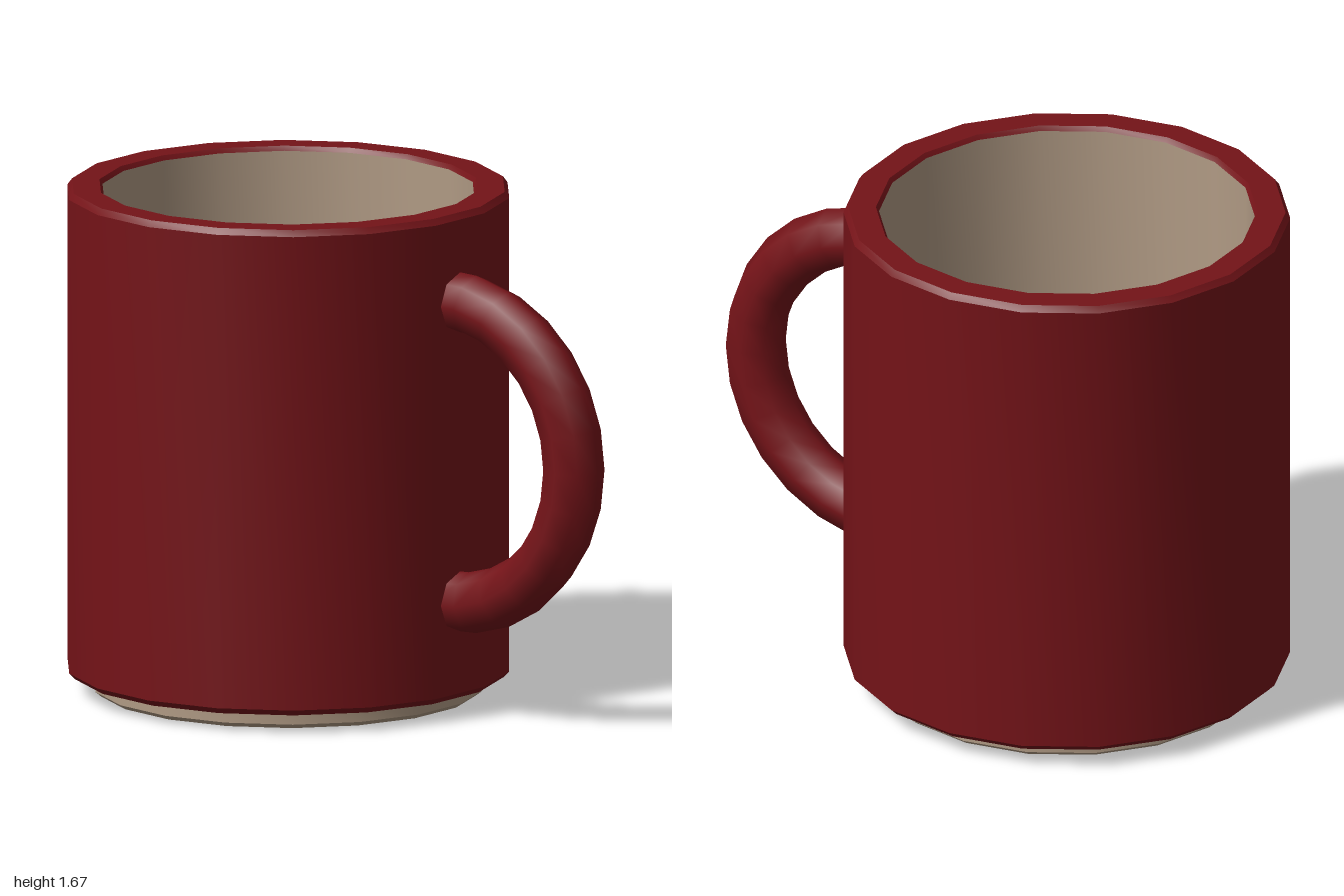
import * as THREE from 'three';
import { toCreasedNormals } from 'three/addons/utils/BufferGeometryUtils.js';

const SIDES = 18;
const AXIS_X = -0.287; // the cup sits off centre to make room for the handle

export function createModel() {
  const mug = new THREE.Group();
  mug.name = 'mug';

  const glaze = new THREE.MeshStandardMaterial({ color: 0x741318 });
  const clay = new THREE.MeshStandardMaterial({ color: 0xb09a84 });

  // Turned part from [radius, height] points
  function turned(name, profile, material) {
    const points = profile.map(([r, y]) => new THREE.Vector2(r, y));
    const geometry = toCreasedNormals(new THREE.LatheGeometry(points, SIDES), 0.5);
    const mesh = new THREE.Mesh(geometry, material);
    mesh.name = name;
    mesh.position.x = AXIS_X;
    mug.add(mesh);
  }

  // Outer wall with bevelled bottom edge and rim
  turned('outerWall', [
    [0.6, 0.06], [0.705, 0.06], [0.725, 0.08],
    [0.725, 1.65], [0.71, 1.67], [0.62, 1.67], [0.61, 1.655],
  ], glaze);

  // Inside wall and floor
  turned('inside', [[0.61, 1.655], [0.61, 0.14], [0.59, 0.12], [0, 0.12]], clay);

  // Unglazed foot with bevelled lower edge
  turned('foot', [[0, 0], [0.62, 0], [0.638, 0.015], [0.638, 0.065]], clay);

  // Handle: a little over half a ring, its ends buried in the wall
  const arc = THREE.MathUtils.degToRad(189);
  const handle = new THREE.Mesh(new THREE.TorusGeometry(0.5, 0.1, 8, 14, arc), glaze);
  handle.name = 'handle';
  handle.position.set(0.4, 0.88, 0);
  handle.rotation.z = -arc / 2;
  mug.add(handle);

  return mug;
}
